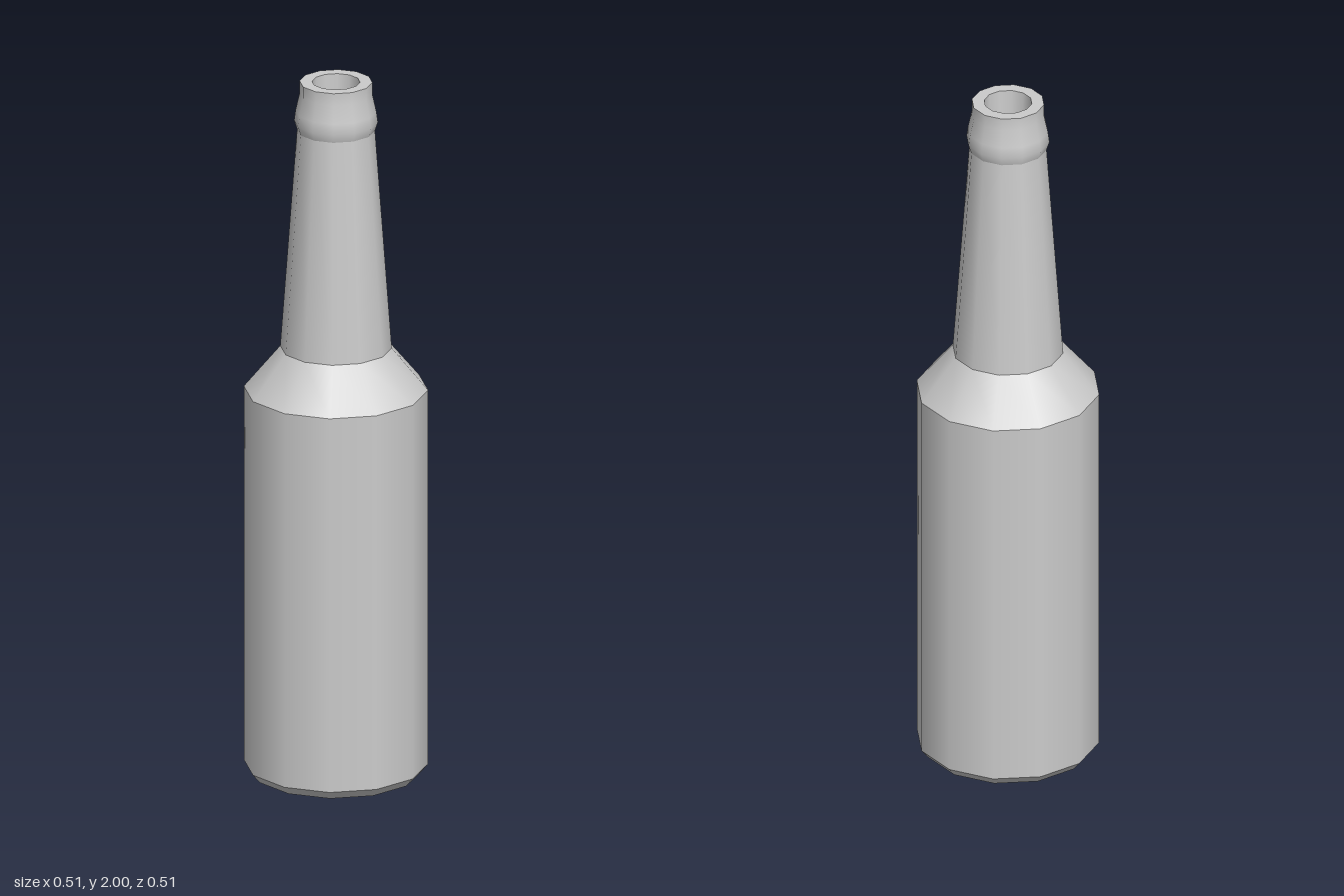
import * as THREE from 'three';

const SIDES = 12;

export function createModel() {
  const bottle = new THREE.Group();
  bottle.name = 'bottle';
  const glass = new THREE.MeshStandardMaterial({ color: 0xcccccc });

  // Each band is smooth around and along itself; edges between bands stay sharp.
  const addBand = (name, profile) => {
    const points = profile.map(([r, y]) => new THREE.Vector2(r, y));
    const mesh = new THREE.Mesh(new THREE.LatheGeometry(points, SIDES), glass);
    mesh.name = name;
    bottle.add(mesh);
  };

  // Profiles run up the outside, over the rim and down into the mouth.
  addBand('base', [[0, 0], [0.232, 0]]);
  addBand('baseBevel', [[0.232, 0], [0.253, 0.025]]);
  addBand('body', [[0.253, 0.025], [0.253, 1.11]]);
  addBand('shoulder', [[0.253, 1.11], [0.153, 1.23]]);
  addBand('neck', [[0.153, 1.23], [0.107, 1.86]]);
  addBand('lip', [[0.107, 1.86], [0.115, 1.885], [0.111, 1.915], [0.1, 1.965], [0.1, 2]]);
  addBand('rim', [[0.1, 2], [0.066, 2]]);
  addBand('mouth', [[0.066, 2], [0.062, 1.9]]);
  addBand('mouthFloor', [[0.062, 1.9], [0, 1.9]]);

  return bottle;
}
